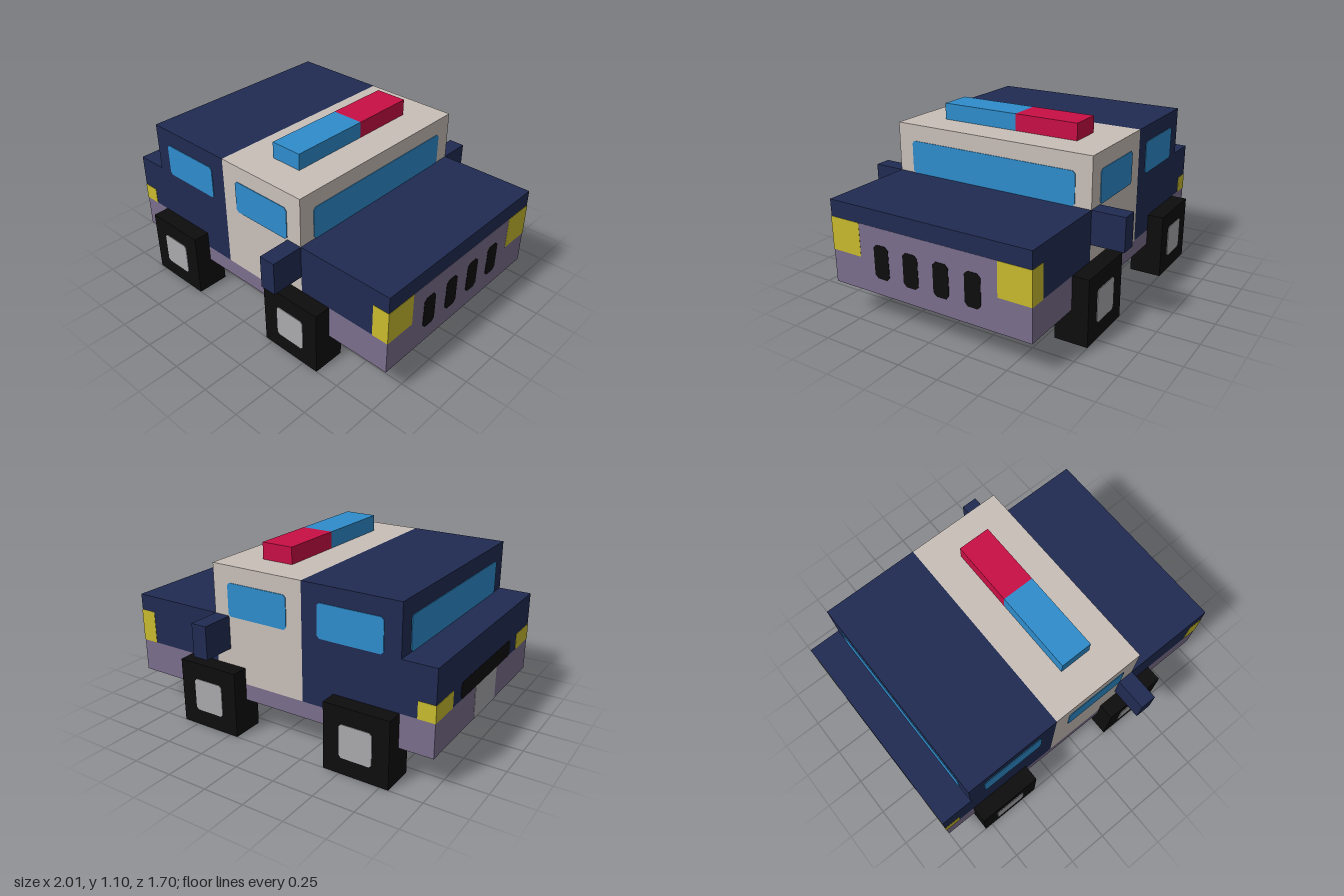
import * as THREE from 'three';

const mat = (name, color) => {
  const m = new THREE.MeshStandardMaterial({ color });
  m.name = name;
  return m;
};

export function createModel() {
  const car = new THREE.Group();
  car.name = 'policeCar';

  const navy = mat('navy', 0x202b52);
  const cream = mat('cream', 0xc9bfb8);
  const purple = mat('purpleGrey', 0x7b6e8d);
  const blue = mat('glassBlue', 0x2e8ccc);
  const red = mat('red', 0xc90f45);
  const yellow = mat('yellow', 0xc9bb2e);
  const black = mat('black', 0x0d0d0d);
  const grey = mat('lightGrey', 0xaaa9ad);

  const add = (name, geometry, material) => {
    const mesh = new THREE.Mesh(geometry, material);
    mesh.name = name;
    car.add(mesh);
    return mesh;
  };

  // Box given by its extents on each axis
  const box = (name, material, [x0, x1], [y0, y1], [z0, z1]) => {
    const mesh = add(name, new THREE.BoxGeometry(x1 - x0, y1 - y0, z1 - z0), material);
    mesh.position.set((x0 + x1) / 2, (y0 + y1) / 2, (z0 + z1) / 2);
    return mesh;
  };

  // Thin plate with slightly clipped corners, turned by yaw to face outwards
  const plate = (name, material, w, h, x, y, z, yaw, c = 0.015) => {
    const a = w / 2, b = h / 2;
    const shape = new THREE.Shape([
      [-a + c, -b], [a - c, -b], [a, -b + c], [a, b - c],
      [a - c, b], [-a + c, b], [-a, b - c], [-a, -b + c],
    ].map(([px, py]) => new THREE.Vector2(px, py)));
    const mesh = add(name, new THREE.ExtrudeGeometry(shape, { depth: 0.004, bevelEnabled: false }), material);
    mesh.position.set(x, y, z);
    mesh.rotation.y = yaw;
    return mesh;
  };

  const E = 0.002; // how far painted details stand proud
  const side = [-0.65, 0.65];
  const FORWARD = Math.PI / 2, REAR = -Math.PI / 2;

  // Body: the nose points along +x
  box('chassis', purple, [-1, 1], [0.2, 0.3], side);
  box('rearBumper', purple, [-1, -0.8], [0.3, 0.4], side);
  box('frontBumper', purple, [0.4, 1], [0.3, 0.4], side);
  box('trunk', navy, [-1, -0.8], [0.4, 0.7], side);
  box('rearCabin', navy, [-0.8, -0.2], [0.3, 1], side);
  box('frontCabin', cream, [-0.2, 0.4], [0.3, 1], side);
  box('hood', navy, [0.4, 1], [0.4, 0.7], side);

  // Nose panel and grille slots
  box('nosePanel', purple, [0.996, 1 + E / 2], [0.4, 0.6], [-0.45, 0.45]);
  for (const z of [-0.3, -0.1, 0.1, 0.3]) {
    plate('grilleSlot', black, 0.1, 0.2, 0.999, 0.4, z, FORWARD, 0.02);
  }

  // Front and rear windows
  plate('windshield', blue, 1.1, 0.2, 0.4, 0.8, 0, FORWARD);
  plate('rearWindow', blue, 1.1, 0.2, -0.8, 0.8, 0, REAR);

  // Rear vent strip and number plate, which wraps under the bumper
  plate('rearVent', black, 0.7, 0.1, -1 + E, 0.45, 0, REAR, 0.02);
  box('numberPlate', grey, [-1 - E, -0.9], [0.2 - E, 0.4], [-0.15, 0.15]);

  // Parts mirrored on both sides
  for (const s of [1, -1]) {
    const span = (a, b) => (s > 0 ? [a, b] : [-b, -a]);
    const yaw = s > 0 ? 0 : Math.PI;

    plate('rearSideWindow', blue, 0.4, 0.2, -0.5, 0.8, s * 0.65, yaw);
    plate('frontSideWindow', blue, 0.4, 0.2, 0.1, 0.8, s * 0.65, yaw);
    box('headlight', yellow, [0.9, 1 + E], [0.4, 0.6], span(0.45, 0.65 + E));
    box('tailLight', yellow, [-1 - E, -0.9], [0.4, 0.5], span(0.45, 0.65 + E));
    box('sideMirror', navy, [0.3, 0.4], [0.5, 0.7], span(0.65, 0.85));

    for (const x of [-0.6, 0.4]) {
      box('wheel', black, [x - 0.2, x + 0.2], [0, 0.4], span(0.55, 0.75));
      plate('hubcap', grey, 0.2, 0.2, x, 0.2, s * 0.75, yaw);
    }
  }

  // Roof light bar
  box('blueBeacon', blue, [0, 0.2], [1, 1.1], [-0.05, 0.45]);
  box('redBeacon', red, [0, 0.2], [1, 1.1], [-0.45, -0.05]);

  return car;
}
